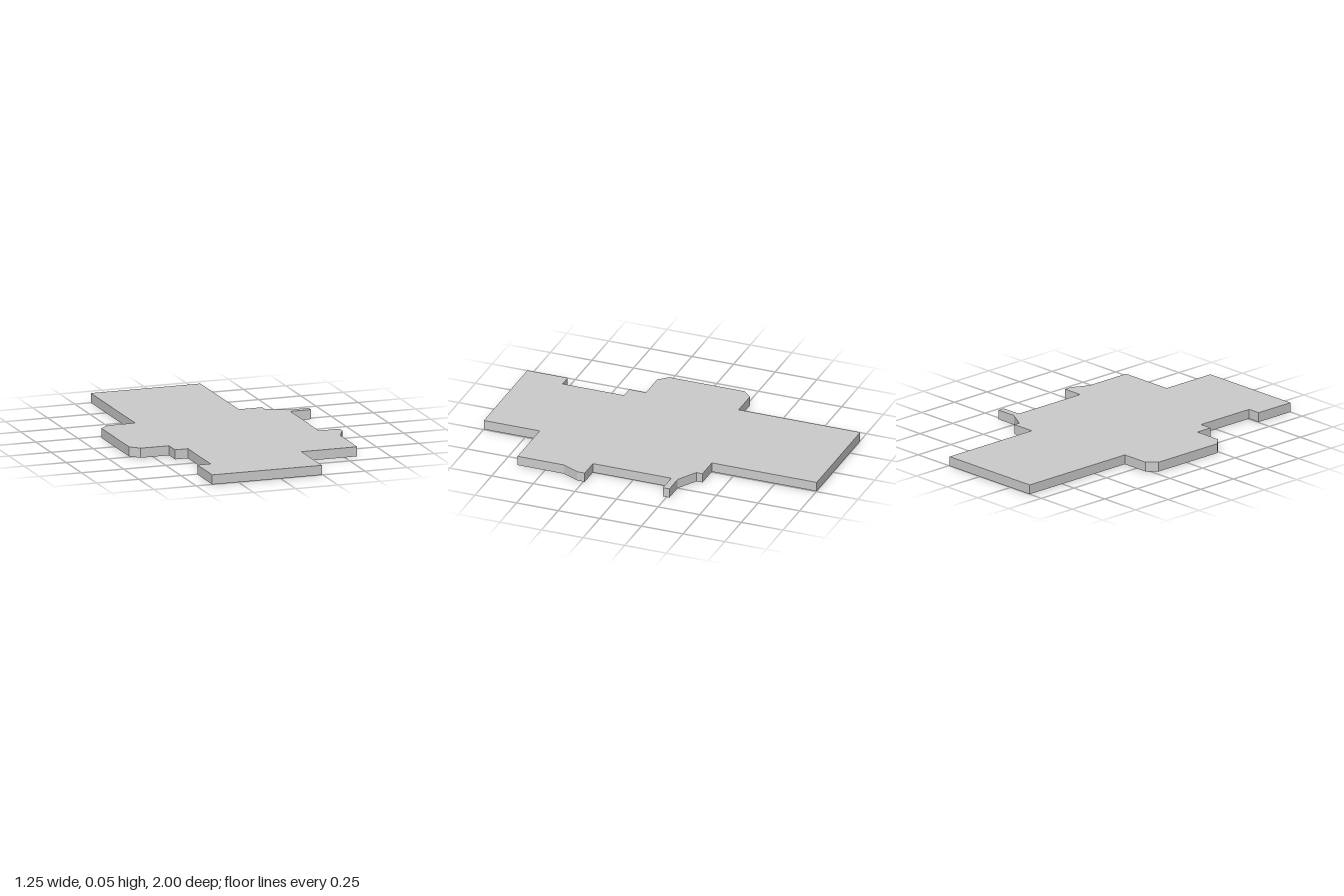
import * as THREE from 'three';

const THICKNESS = 0.055;

// Plate outline as [x, z], starting at the back right corner
const OUTLINE = [
  // back end
  [-0.405, -1], [0.245, -1],
  // left side: stepped shoulder, thin rear tab, recess, front tab and block
  [0.245, -0.37], [0.385, -0.37], [0.385, -0.333], [0.5, -0.267],
  [0.623, -0.267], [0.623, -0.228], [0.5, -0.228], [0.5, 0.242],
  [0.623, 0.242], [0.623, 0.287], [0.575, 0.387], [0.575, 0.665], [0.245, 0.665],
  // front end
  [0.245, 1], [-0.405, 1],
  // right side: notch, then the wing with bevelled corners
  [-0.405, 0.757], [-0.328, 0.757], [-0.328, 0.387], [-0.405, 0.387],
  [-0.405, 0.287], [-0.572, 0.287], [-0.623, 0.235],
  [-0.623, -0.218], [-0.572, -0.27], [-0.405, -0.27],
];

export function createModel() {
  const group = new THREE.Group();
  group.name = 'cutPlate';

  // Extrude the outline, then lay it flat with its underside on y = 0
  const shape = new THREE.Shape(OUTLINE.map(([x, z]) => new THREE.Vector2(x, -z)));
  const geometry = new THREE.ExtrudeGeometry(shape, { depth: THICKNESS, bevelEnabled: false });
  geometry.rotateX(-Math.PI / 2);

  const plate = new THREE.Mesh(
    geometry,
    new THREE.MeshStandardMaterial({ color: 0xcccccc, flatShading: true })
  );
  plate.name = 'plate';
  group.add(plate);
  return group;
}
